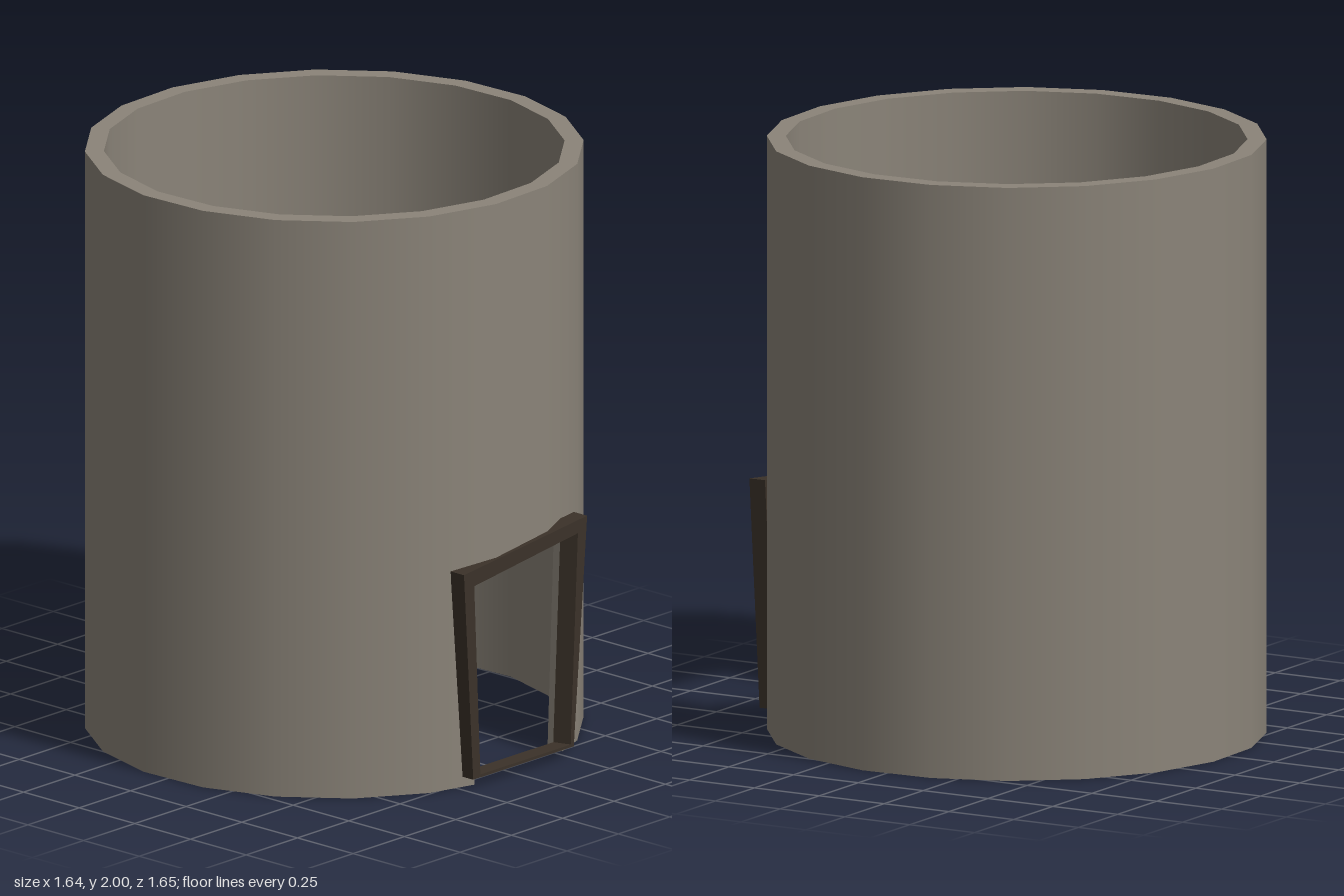
import * as THREE from 'three';

const R_OUT = 0.826, R_IN = 0.763, CZ = -0.007, HEIGHT = 2, SIDES = 20;

// Doorway corners: the opening widens upward and its top slopes
const LB = -0.18, LT = -0.22, RB = 0.28, RT = 0.335, YL = 0.71, YR = 0.79;
const lintel = x => YL + (YR - YL) * (x - LT) / (RT - LT);
const leftJamb = x => YL * (LB - x) / (LB - LT);
const rightJamb = x => YR * (x - RB) / (RT - RB);
const floor = () => 0, rim = () => HEIGHT;

// A column holds one outer and one inner plan point
function ringColumn(k) {
  const a = THREE.MathUtils.degToRad(7 + k * 360 / SIDES);
  const at = r => ({ x: r * Math.cos(a), z: CZ + r * Math.sin(a) });
  return { o: at(R_OUT), i: at(R_IN) };
}
function cutColumn(x, A, B) {
  const at = (p, q) => ({ x, z: p.z + (q.z - p.z) * (x - p.x) / (q.x - p.x) });
  return { o: at(A.o, B.o), i: at(A.i, B.i) };
}

function wallGeometry() {
  const pos = [], nor = [];
  // sign: 1 smooth outward, -1 smooth inward, 0 flat
  function quad(p, sign) {
    const flat = p[2].clone().sub(p[0]).cross(p[3].clone().sub(p[1])).normalize();
    for (const j of [0, 1, 2, 0, 2, 3]) {
      const v = p[j];
      const n = sign ? new THREE.Vector3(v.x, 0, v.z - CZ).normalize().multiplyScalar(sign) : flat;
      pos.push(v.x, v.y, v.z);
      nor.push(n.x, n.y, n.z);
    }
  }
  function block(A, B, low, high) {
    const pt = (p, f) => new THREE.Vector3(p.x, f(p.x), p.z);
    const [ao, ai, bo, bi] = [A.o, A.i, B.o, B.i].map(p => [pt(p, low), pt(p, high)]);
    quad([bo[0], ao[0], ao[1], bo[1]], 1);
    quad([ai[0], bi[0], bi[1], ai[1]], -1);
    quad([bo[1], ao[1], ai[1], bi[1]], 0);
    quad([ao[0], bo[0], bi[0], ai[0]], 0);
  }

  const ring = Array.from({ length: SIDES }, (_, k) => ringColumn(k));
  for (let k = 0; k < SIDES; k++) {
    if (k < 3 || k > 5) block(ring[k], ring[(k + 1) % SIDES], floor, rim);
  }
  // Front facets around the doorway
  const r1 = cutColumn(RT, ring[3], ring[4]), r0 = cutColumn(RB, ring[3], ring[4]);
  const l0 = cutColumn(LB, ring[5], ring[6]), l1 = cutColumn(LT, ring[5], ring[6]);
  block(ring[3], r1, floor, rim);
  block(l1, ring[6], floor, rim);
  const over = [r1, r0, ring[4], ring[5], l0, l1];
  for (let j = 0; j < over.length - 1; j++) block(over[j], over[j + 1], lintel, rim);
  block(r1, r0, floor, rightJamb);
  block(l0, l1, floor, leftJamb);

  const g = new THREE.BufferGeometry();
  g.setAttribute('position', new THREE.Float32BufferAttribute(pos, 3));
  g.setAttribute('normal', new THREE.Float32BufferAttribute(nor, 3));
  return g;
}

function frameGeometry() {
  const v = (x, y) => new THREE.Vector2(x, y);
  const shape = new THREE.Shape([v(-0.225, 0.035), v(0.265, 0.035), v(0.33, 0.82), v(-0.27, 0.755)]);
  shape.holes.push(new THREE.Path([v(-0.19, 0.045), v(-0.22, 0.705), v(0.285, 0.77), v(0.25, 0.045)]));
  const g = new THREE.ExtrudeGeometry(shape, { depth: 0.06, bevelEnabled: false });
  g.translate(0, 0, 0.765);
  // Splay the inner face of the right post
  const p = g.attributes.position;
  for (let j = 0; j < p.count; j++) {
    const x = p.getX(j), y = p.getY(j);
    const inner = Math.abs(x - 0.285) < 1e-4 || Math.abs(x - 0.25) < 1e-4;
    if (inner && y > 0.04 && p.getZ(j) < 0.8) p.setX(j, x - 0.02);
  }
  g.computeVertexNormals();
  return g;
}

export function createModel() {
  const stone = new THREE.MeshStandardMaterial({ color: 0x8b8479 });
  stone.name = 'stone';
  const darkWood = new THREE.MeshStandardMaterial({ color: 0x3b3229 });
  darkWood.name = 'darkWood';

  const group = new THREE.Group();
  group.name = 'roundTower';
  const wall = new THREE.Mesh(wallGeometry(), stone);
  wall.name = 'towerWall';
  const frame = new THREE.Mesh(frameGeometry(), darkWood);
  frame.name = 'doorFrame';
  group.add(wall, frame);
  return group;
}
